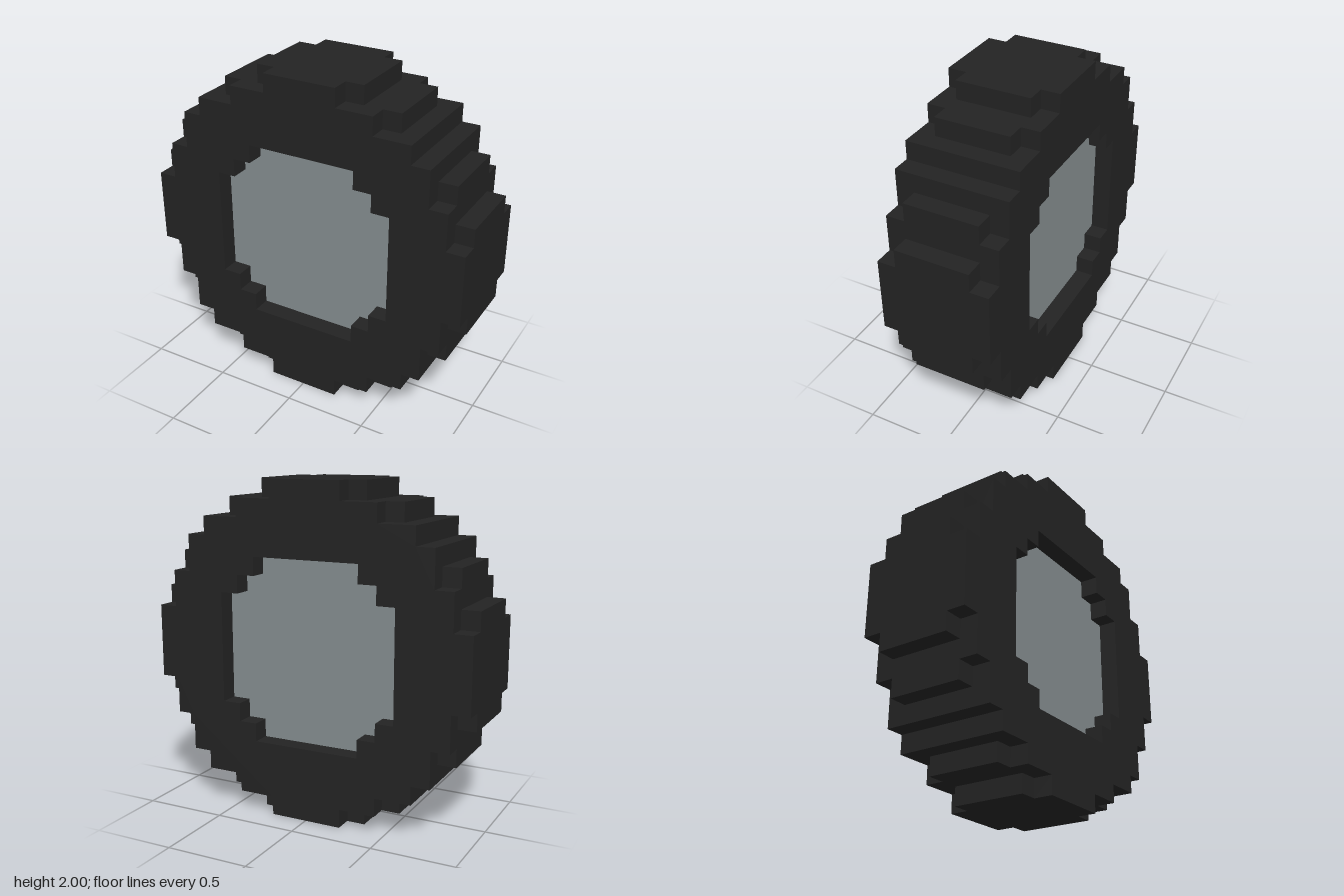
import * as THREE from 'three';

const U = 1 / 9; // edge of one block

// Stepped round outline; halfWidths lists the half width of each block row from the axle upward.
function steppedPoints(halfWidths) {
  const rows = [...halfWidths].reverse().concat(halfWidths);
  const n = halfWidths.length;
  const right = [];
  rows.forEach((w, i) => {
    if (i === 0 || rows[i - 1] !== w) right.push([w, i - n]);
    if (i === rows.length - 1 || rows[i + 1] !== w) right.push([w, i + 1 - n]);
  });
  const left = right.map(([x, y]) => [-x, -y]);
  return [...right, ...left].map(([x, y]) => new THREE.Vector2(x * U, y * U));
}

// Block slab between two depths, with an optional stepped hole.
function slab(name, outline, hole, z0, z1, material) {
  const shape = new THREE.Shape(steppedPoints(outline));
  if (hole) shape.holes.push(new THREE.Path(steppedPoints(hole)));
  const geometry = new THREE.ExtrudeGeometry(shape, { depth: (z1 - z0) * U, bevelEnabled: false });
  geometry.translate(0, 1, z0 * U);
  const mesh = new THREE.Mesh(geometry, material);
  mesh.name = name;
  return mesh;
}

export function createModel() {
  const rubber = new THREE.MeshStandardMaterial({ color: 0x232323 });
  rubber.name = 'black rubber';
  const metal = new THREE.MeshStandardMaterial({ color: 0x848c8e });
  metal.name = 'grey metal';

  const tread = [9, 9, 9, 8, 8, 7, 6, 5, 3];
  const shoulder = [9, 9, 8, 8, 7, 7, 6, 4, 2];
  const rim = [5, 5, 5, 4, 3];

  const wheel = new THREE.Group();
  wheel.name = 'wheel';
  wheel.add(
    slab('tyreTread', tread, rim, -2, 2, rubber),
    slab('frontTyreWall', shoulder, rim, 2, 3, rubber),
    slab('backTyreWall', shoulder, rim, -3, -2, rubber),
    slab('hub', rim, null, -2, 2, metal), // sits one block deep on both sides
  );
  return wheel;
}
